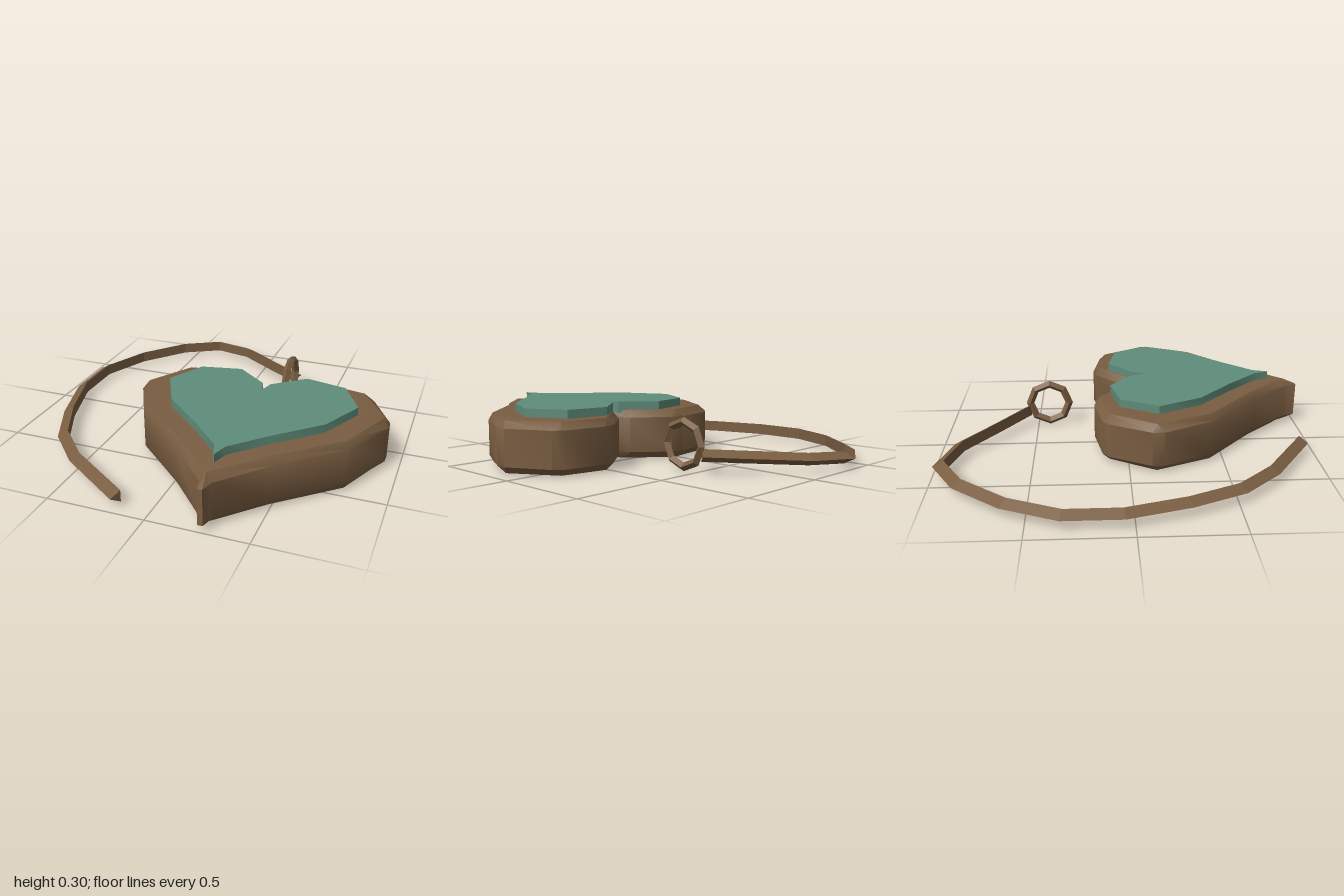
import * as THREE from 'three';
import { toCreasedNormals } from 'three/addons/utils/BufferGeometryUtils.js';

const CENTRE_X = 0.27;

// Skins a stack of equal-length rings and closes both ends with the given cap triangles
function loft(rings, capFaces, crease) {
  const pos = [];
  const ab = new THREE.Vector3(), ac = new THREE.Vector3();
  const tri = (a, b, c, dir) => {
    const n = ab.subVectors(b, a).cross(ac.subVectors(c, a));
    if (n.length() < 1e-8) return;
    const order = dir && n.dot(dir) < 0 ? [a, c, b] : [a, b, c];
    order.forEach((p) => pos.push(p.x, p.y, p.z));
  };
  for (let r = 0; r < rings.length - 1; r++) {
    const lo = rings[r], hi = rings[r + 1];
    for (let i = 0; i < lo.length; i++) {
      const j = (i + 1) % lo.length;
      tri(lo[i], hi[j], lo[j]);
      tri(lo[i], hi[i], hi[j]);
    }
  }
  const cap = (ring, next) => {
    const dir = ring[0].clone().sub(next[0]);
    capFaces.forEach(([a, b, c]) => tri(ring[a], ring[b], ring[c], dir));
  };
  cap(rings[0], rings[1]);
  cap(rings[rings.length - 1], rings[rings.length - 2]);
  const geo = new THREE.BufferGeometry();
  geo.setAttribute('position', new THREE.Float32BufferAttribute(pos, 3));
  geo.computeVertexNormals();
  return crease ? toCreasedNormals(geo, crease) : geo;
}

// Mirrors half an outline (first point on the centre line) into a closed ring
function heartRing(half, y) {
  const left = half.slice(1).reverse().map(([x, z]) => [-x, z]);
  return [...half, ...left].map(([x, z]) => new THREE.Vector3(CENTRE_X + x, y, z));
}

function heartCaps(half) {
  const outline = heartRing(half, 0).map((p) => new THREE.Vector2(p.x, p.z));
  return THREE.ShapeUtils.triangulateShape(outline, []);
}

export function createModel() {
  const group = new THREE.Group();
  const brown = new THREE.MeshStandardMaterial({ color: 0x795d41 });
  brown.name = 'bronze brown';
  const teal = new THREE.MeshStandardMaterial({ color: 0x5f8c7a });
  teal.name = 'muted teal';
  const add = (name, geo, mat) => {
    const mesh = new THREE.Mesh(geo, mat);
    mesh.name = name;
    group.add(mesh);
    return mesh;
  };

  // Heart case: wide wall with chamfered corners, bevelled to a smaller top and base
  const wall = [[0, 0.06], [0.04, -0.016], [0.21, -0.16], [0.275, -0.175], [0.505, -0.135],
    [0.545, -0.1], [0.66, 0.115], [0.66, 0.175], [0.525, 0.445], [0.23, 0.715],
    [0.03, 0.935], [0.013, 1.0]];
  const face = [[0, 0.125], [0.042, 0.03], [0.245, -0.145], [0.25, -0.145], [0.488, -0.1],
    [0.492, -0.098], [0.635, 0.138], [0.635, 0.142], [0.51, 0.43], [0.215, 0.69],
    [0.006, 0.91], [0.001, 0.92]];
  add('heartCase', loft([
    heartRing(face, 0), heartRing(wall, 0.035), heartRing(wall, 0.22), heartRing(face, 0.257),
  ], heartCaps(face), 0.7), brown);

  // Raised heart inlay
  const inlay = [[0, 0.127], [0.02, 0.05], [0.185, -0.085], [0.4, -0.04], [0.505, 0.16],
    [0.395, 0.39], [0.18, 0.59], [0.027, 0.75], [0.002, 0.83]];
  add('heartInlay', loft([heartRing(inlay, 0.24), heartRing(inlay, 0.3)],
    heartCaps(inlay), 0.5), teal);

  // Faceted hanging ring, standing upright
  const ringGeo = new THREE.TorusGeometry(0.112, 0.022, 4, 8).toNonIndexed();
  ringGeo.computeVertexNormals();
  const ring = add('hangingRing', ringGeo, brown);
  ring.rotation.y = Math.PI / 2;
  ring.position.set(CENTRE_X, 0.131, -0.432);

  // Cord: three-sided section with its ridge on the outside of the curve
  const path = [[-0.165, 0.047, 0.95], [-0.515, 0.047, 0.715], [-0.695, 0.047, 0.525],
    [-0.815, 0.047, 0.26], [-0.905, 0.047, -0.05], [-0.905, 0.047, -0.335],
    [-0.785, 0.047, -0.605], [-0.585, 0.047, -0.845], [-0.367, 0.047, -0.97],
    [-0.135, 0.058, -0.895], [0.085, 0.073, -0.715], [0.28, 0.088, -0.56],
  ].map((p) => new THREE.Vector3(...p));
  const cordRings = path.map((p, i) => {
    const before = path[Math.max(i - 1, 0)], after = path[Math.min(i + 1, path.length - 1)];
    const side = (a, b) => new THREE.Vector3(b.z - a.z, 0, a.x - b.x).normalize();
    const n1 = i > 0 ? side(before, p) : side(p, after);
    const n2 = i < path.length - 1 ? side(p, after) : n1;
    const out = n1.clone().add(n2).normalize();
    out.multiplyScalar(0.027 / out.dot(n1));
    return [[1, 0], [-1, -0.031], [-1, 0.031]].map(([o, y]) => {
      const q = p.clone().addScaledVector(out, o);
      q.y += y;
      return q;
    });
  });
  add('cord', loft(cordRings, [[0, 1, 2]]), brown);

  return group;
}
